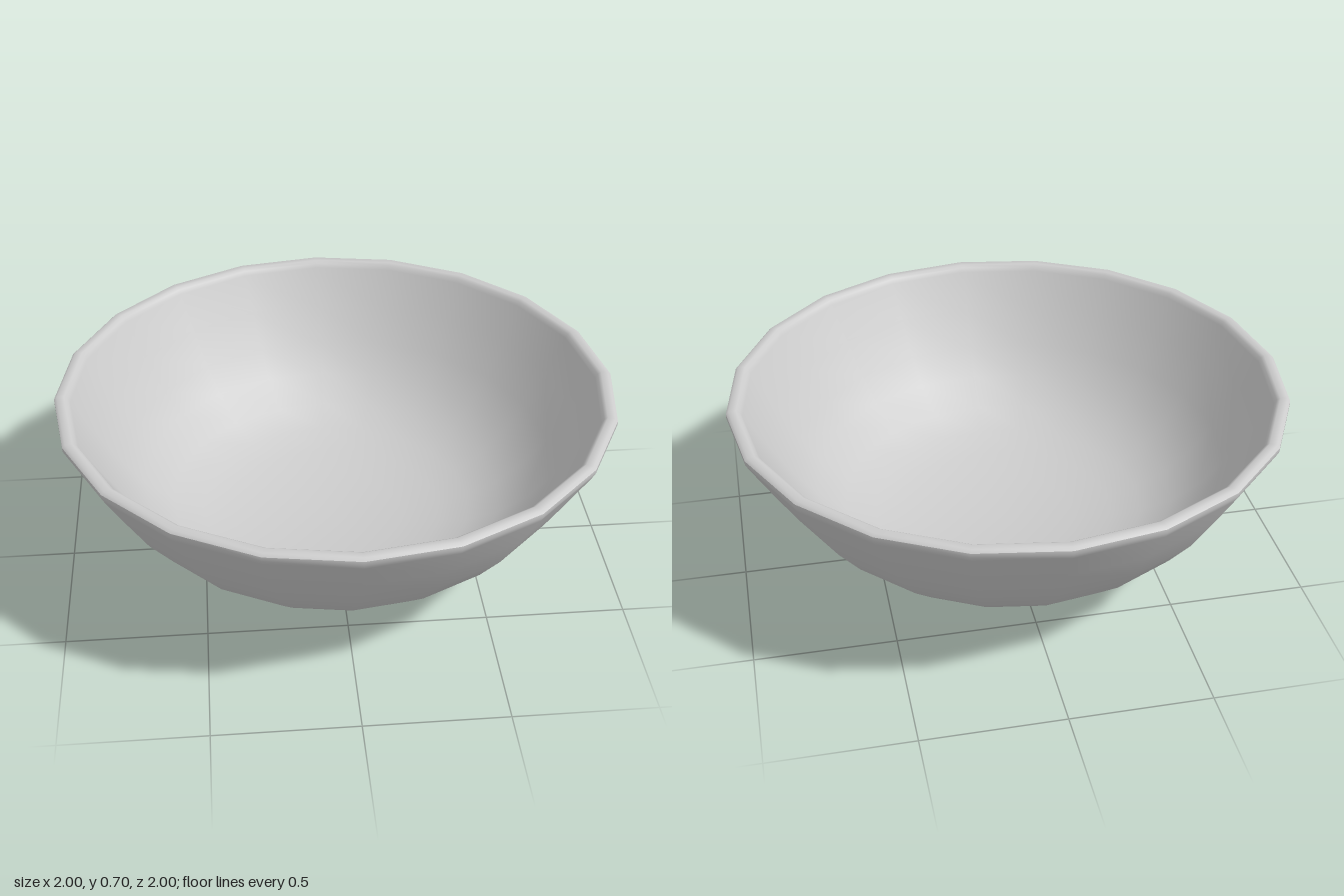
import * as THREE from 'three';
import { toCreasedNormals } from 'three/addons/utils/BufferGeometryUtils.js';

const SIDES = 20;

// Turned part from [radius, height] pairs, smooth except at sharp edges
function turned(name, profile, material) {
  const points = profile.map(([r, y]) => new THREE.Vector2(r, y));
  const geometry = toCreasedNormals(new THREE.LatheGeometry(points, SIDES), 0.75);
  const mesh = new THREE.Mesh(geometry, material);
  mesh.name = name;
  return mesh;
}

export function createModel() {
  const group = new THREE.Group();
  group.name = 'bowl';
  const material = new THREE.MeshStandardMaterial({ color: 0xcccccc, side: THREE.DoubleSide });

  // Ring foot with a shallow recess underneath
  group.add(turned('foot', [
    [0, 0.04], [0.21, 0.04], [0.21, 0.005], [0.215, 0],
    [0.3, 0], [0.307, 0.007], [0.307, 0.065], [0.311, 0.075], [0.325, 0.083],
  ], material));

  // Shell: up the outer wall, over the rounded rim, down the inside
  group.add(turned('shell', [
    [0.325, 0.083], [0.41, 0.103], [0.52, 0.13], [0.645, 0.195], [0.75, 0.29],
    [0.837, 0.4], [0.915, 0.53], [0.99, 0.66], [1, 0.68],
    [1, 0.695], [0.99, 0.704], [0.965, 0.704], [0.953, 0.696], [0.945, 0.68],
    [0.87, 0.55], [0.79, 0.42], [0.71, 0.32], [0.61, 0.235], [0.5, 0.18],
    [0.39, 0.15], [0.25, 0.125], [0, 0.115],
  ], material));

  return group;
}
